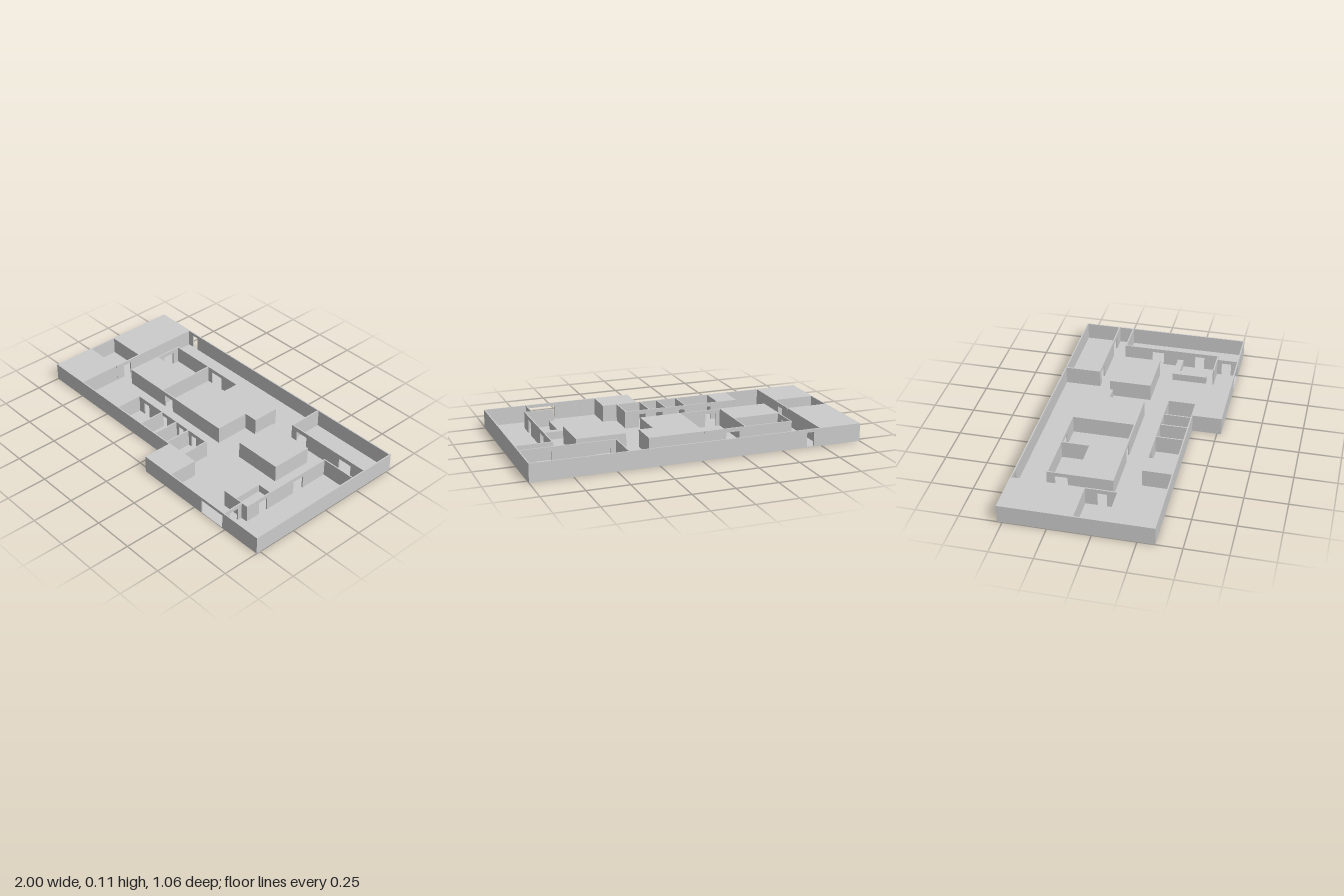
import * as THREE from 'three';

const H = 0.109;      // wall height
const T = 0.008;      // wall thickness
const DOOR = 0.085;   // door head height
const BASE = 0.001;

export function createModel() {
  const model = new THREE.Group();
  model.name = 'floorPlan';
  const mat = new THREE.MeshStandardMaterial({ color: 0xcccccc, flatShading: true });

  // Box given by its limits
  const box = (name, x0, x1, z0, z1, y0 = BASE, y1 = H, parent = model) => {
    const mesh = new THREE.Mesh(new THREE.BoxGeometry(x1 - x0, y1 - y0, z1 - z0), mat);
    mesh.position.set((x0 + x1) / 2, (y0 + y1) / 2, (z0 + z1) / 2);
    mesh.name = name;
    parent.add(mesh);
  };

  // Straight wall along x or z with door openings [from, to, head]
  const wall = (name, axis, at, from, to, doors = [], top = H) => {
    const group = new THREE.Group();
    group.name = name;
    const piece = (part, a, b, y0, y1) => axis === 'x'
      ? box(part, a, b, at - T / 2, at + T / 2, y0, y1, group)
      : box(part, at - T / 2, at + T / 2, a, b, y0, y1, group);
    let start = from;
    for (const [a, b, head = DOOR] of doors) {
      if (a > start) piece('wallPanel', start, a, BASE, top);
      piece('lintel', a, b, head, top);
      start = b;
    }
    if (to > start) piece('wallPanel', start, to, BASE, top);
    model.add(group);
  };

  // Floor slab
  const outline = [[-1, -0.53], [1, -0.53], [1, 0.525], [0.08, 0.525], [0.08, 0.35], [-1, 0.35]];
  const shape = new THREE.Shape(outline.map(([x, z]) => new THREE.Vector2(x, -z)));
  const floor = new THREE.Mesh(new THREE.ExtrudeGeometry(shape, { depth: 0.004, bevelEnabled: false }), mat);
  floor.rotation.x = -Math.PI / 2;
  floor.name = 'floor';
  model.add(floor);

  // Outer walls
  wall('backWall', 'x', -0.526, -0.74, 1, [[-0.7, -0.655, 0.09]]);
  wall('leftWall', 'z', 0.996, -0.53, 0.525);
  wall('frontWall', 'x', 0.521, 0.3, 1, [[0.56, 0.73, 0.09]]);
  wall('frontRoomOuterWall', 'x', 0.346, -0.74, 0.08);

  // Solid masses
  box('rightBackBlock', -1, -0.737, -0.53, -0.1);
  box('rightFrontBlock', -1, -0.737, 0.082, 0.35);
  box('frontBlock', 0.08, 0.3, 0.342, 0.525);
  box('coreBlock', -0.645, -0.346, -0.176, 0.038);
  box('centreBlock', -0.09, 0.167, -0.347, 0.038);
  box('centreBlockWing', 0.167, 0.252, -0.347, -0.178);
  box('islandBlock', 0.343, 0.643, -0.22, 0.038);
  box('frontRoomBlock', -0.518, -0.39, 0.173, 0.346);

  // Small side room
  wall('sideRoomOuterWall', 'z', -0.996, -0.1, 0.082);
  wall('sideRoomDoorWall', 'z', -0.74, -0.1, 0.082, [[-0.03, 0.025]]);

  // Core rooms
  wall('coreBackWall', 'x', -0.344, -0.645, -0.09, [[-0.31, -0.225]]);
  wall('coreSideWall', 'z', -0.641, -0.347, -0.176, [[-0.3, -0.225]]);
  wall('corePartition', 'z', -0.349, -0.347, 0.038);
  wall('coreFrontWall', 'x', 0.034, -0.346, -0.09, [[-0.32, -0.25]]);

  // Row of small front rooms
  wall('frontRoomsWall', 'x', 0.177, -0.39, 0.215,
    [[-0.345, -0.3], [-0.175, -0.135], [-0.025, 0.015], [0.085, 0.125]]);
  for (const x of [-0.178, -0.05, 0.058, 0.208]) wall('frontRoomPartition', 'z', x, 0.177, 0.346);

  // Back corner room
  wall('cornerRoomSideWall', 'z', 0.432, -0.526, -0.306, [], 0.112);
  wall('cornerRoomFrontWall', 'x', -0.308, 0.43, 0.996, [[0.47, 0.55], [0.81, 0.9]], 0.112);

  // Long room on the left side
  wall('longRoomBackWall', 'x', -0.216, 0.775, 0.996);
  wall('longRoomSideWall', 'z', 0.779, -0.22, 0.392, [[-0.04, 0.035], [0.24, 0.3]]);
  wall('longRoomFrontWall', 'x', 0.388, 0.602, 0.78);
  wall('entrancePartition', 'z', 0.737, 0.388, 0.521, [[0.42, 0.48]]);

  // Low L-shaped counter
  box('counterBack', 0.602, 0.777, 0.128, 0.166, BASE, 0.05);
  box('counterSide', 0.602, 0.643, 0.166, 0.343, BASE, 0.05);

  return model;
}
